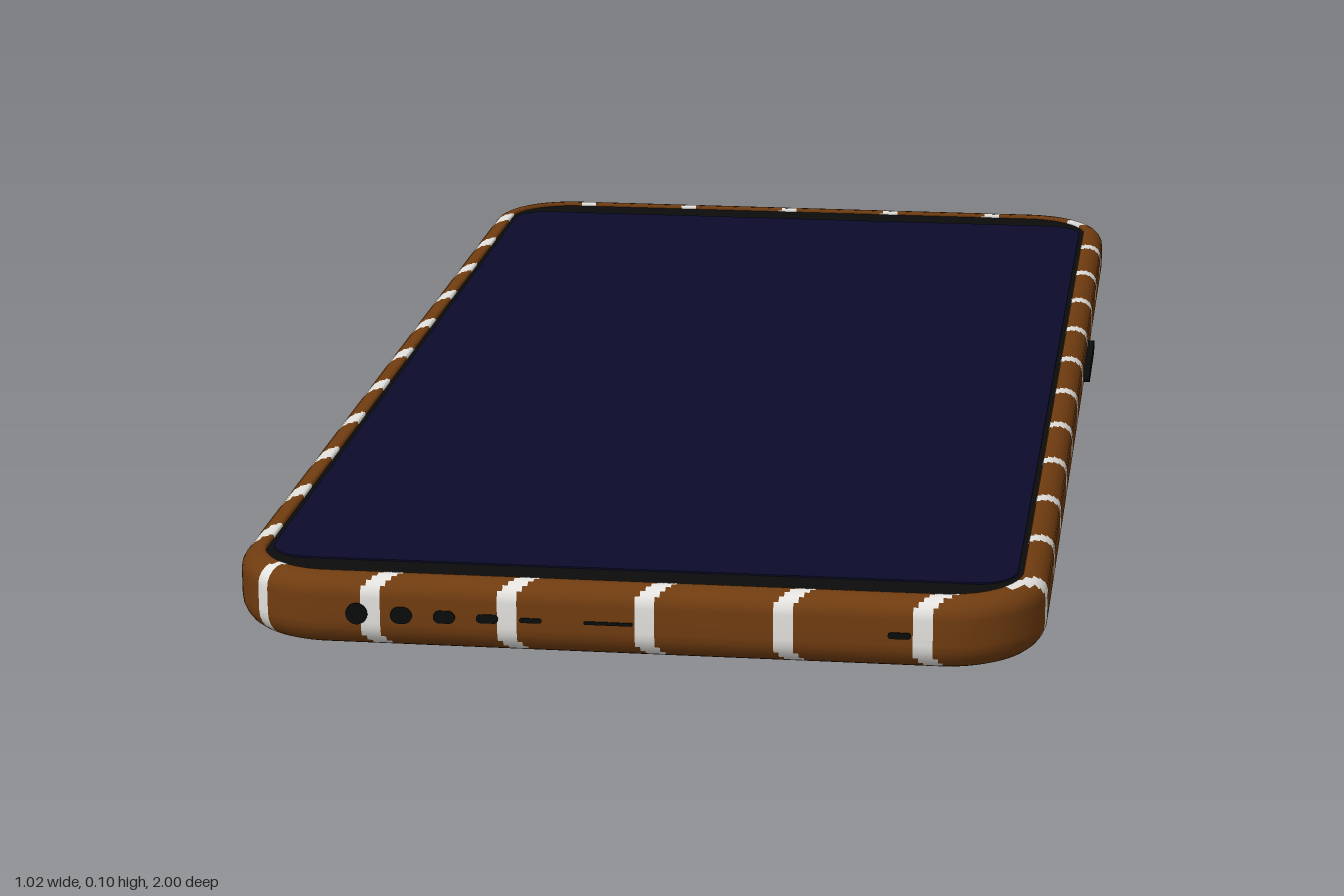
import * as THREE from 'three';

const HALF_W = 0.5, HALF_L = 1, CORNER = 0.125, MID_Y = 0.06;
const PITCH = 0.168;

const material = (name, color) => {
  const m = new THREE.MeshStandardMaterial({ color });
  m.name = name;
  return m;
};

// Outline of the case as points with outward normals, in the x-z plane
function outline(step) {
  const pts = [];
  const cx = HALF_W - CORNER, cz = HALF_L - CORNER;
  const centres = [[cx, cz], [-cx, cz], [-cx, -cz], [cx, -cz]];
  centres.forEach(([x, z], k) => {
    const arcSteps = Math.ceil((CORNER * Math.PI) / 2 / step);
    for (let i = 0; i < arcSteps; i++) {
      const a = ((k + i / arcSteps) * Math.PI) / 2;
      const nx = Math.cos(a), nz = Math.sin(a);
      pts.push({ x: x + CORNER * nx, z: z + CORNER * nz, nx, nz });
    }
    const a = ((k + 1) * Math.PI) / 2;
    const nx = Math.round(Math.cos(a)), nz = Math.round(Math.sin(a));
    const [x2, z2] = centres[(k + 1) % 4];
    const n = Math.ceil(Math.hypot(x2 - x, z2 - z) / step);
    for (let i = 0; i < n; i++) {
      const t = i / n;
      pts.push({ x: x + (x2 - x) * t + CORNER * nx, z: z + (z2 - z) * t + CORNER * nz, nx, nz });
    }
  });
  return pts;
}

// Diagonal stripes x + z = constant; width and offset differ a little by side
function isStripe(x, z, nx, nz) {
  let centre = 0.016, half = 0.013;
  if (nx > 0.8) { centre = 0.041; half = 0.012; }
  else if (nx < -0.8) { centre = 0.014; half = 0.024; }
  else if (nz > 0.8) { centre = 0.011; half = 0.012; }
  const d = (x + z - centre) / PITCH;
  return Math.abs(d - Math.round(d)) * PITCH < half;
}

// Rounded wall of the case: a profile swept around the outline
function caseWall() {
  const profile = [];
  for (let i = 0; i <= 6; i++) {
    const a = (i / 6) * Math.PI / 2;
    profile.push([0.035 * (1 - Math.sin(a)), 0.013 + 0.035 * (1 - Math.cos(a))]);
  }
  for (let i = 0; i <= 5; i++) {
    const a = (i / 5) * Math.PI / 2;
    profile.push([0.025 * (1 - Math.cos(a)), 0.08 + 0.025 * Math.sin(a)]);
  }
  profile.push([0.03, 0.105], [0.031, 0.102], [0.031, 0.09]);
  const ring = outline(0.006), n = ring.length, position = [];
  for (const [inset, y] of profile)
    for (const p of ring) position.push(p.x - p.nx * inset, y, p.z - p.nz * inset);
  const plain = [], stripes = [];
  for (let j = 0; j < profile.length - 1; j++) {
    const inset = (profile[j][0] + profile[j + 1][0]) / 2;
    for (let i = 0; i < n; i++) {
      const k = (i + 1) % n, p = ring[i], q = ring[k];
      const x = (p.x + q.x) / 2 - p.nx * inset, z = (p.z + q.z) / 2 - p.nz * inset;
      const a = j * n + i, b = j * n + k, c = b + n, d = a + n;
      (isStripe(x, z, p.nx, p.nz) ? stripes : plain).push(a, d, c, a, c, b);
    }
  }
  const g = new THREE.BufferGeometry();
  g.setAttribute('position', new THREE.Float32BufferAttribute(position, 3));
  g.setIndex([...plain, ...stripes]);
  g.addGroup(0, plain.length, 0);
  g.addGroup(plain.length, stripes.length, 1);
  g.computeVertexNormals();
  return g;
}

// Keep the part of a convex polygon where s * (x + z - c) >= 0
function clip(poly, c, s) {
  const out = [];
  poly.forEach((p, i) => {
    const q = poly[(i + 1) % poly.length];
    const dp = s * (p.x + p.y - c), dq = s * (q.x + q.y - c);
    if (dp >= 0) out.push(p);
    if (dp * dq < 0) out.push(p.clone().lerp(q, dp / (dp - dq)));
  });
  return out;
}

function roundedRect(w, h, r, Type = THREE.Shape) {
  const s = new Type(), x = w / 2 - r, y = h / 2 - r;
  s.absarc(x, y, r, 0, Math.PI / 2);
  s.absarc(-x, y, r, Math.PI / 2, Math.PI);
  s.absarc(-x, -y, r, Math.PI, Math.PI * 1.5);
  s.absarc(x, -y, r, Math.PI * 1.5, Math.PI * 2);
  s.closePath();
  return s;
}

const extrude = (shape, depth) =>
  new THREE.ExtrudeGeometry(shape, { depth, bevelEnabled: false, curveSegments: 10 });

export function createModel() {
  const model = new THREE.Group();
  model.name = 'phoneInCase';
  const brown = material('caseBrown', 0x703c10);
  const white = material('stripeWhite', 0xe4e2de);
  const black = material('black', 0x0a0c0b);
  const blue = material('screenBlue', 0x0c0c2c);

  const add = (name, geometry, mat, x = 0, y = 0, z = 0) => {
    const mesh = new THREE.Mesh(geometry, mat);
    mesh.name = name;
    mesh.position.set(x, y, z);
    model.add(mesh);
  };
  // Flat rounded slab from y0 to y1
  const slab = (name, w, l, r, y0, y1, mat, x = 0, z = 0, rim = 0) => {
    const s = roundedRect(w, l, r);
    if (rim) s.holes.push(roundedRect(w - 2 * rim, l - 2 * rim, r - rim * 0.6, THREE.Path));
    add(name, extrude(s, y1 - y0).rotateX(-Math.PI / 2), mat, x, y0, z);
  };

  add('caseWall', caseWall(), [brown, white]);

  // Case back, cut into alternating diagonal bands
  const back = outline(0.02).map(p => new THREE.Vector2(p.x - p.nx * 0.035, p.z - p.nz * 0.035));
  const band = (name, from, to, mat) => {
    const poly = clip(clip(back, from, 1), to, -1);
    if (poly.length < 3) return;
    add(name, new THREE.ShapeGeometry(new THREE.Shape(poly)).rotateX(Math.PI / 2), mat, 0, 0.013, 0);
  };
  for (let k = -10; k <= 10; k++) {
    const c = k * PITCH + 0.02, half = 0.026;
    band('backStripe', c - half, c + half, white);
    band('backPanel', c + half, c + PITCH - half, brown);
  }

  // Glass front and display
  slab('bezel', 0.945, 1.945, 0.1, 0.085, 0.1, black);
  slab('screen', 0.925, 1.83, 0.05, 0.1, 0.102, blue);

  // Camera and sensor openings on the back, each with a raised lip
  slab('cameraLip', 0.195, 0.4, 0.05, 0, 0.02, brown, 0, -0.49, 0.014);
  slab('cameraWindow', 0.18, 0.385, 0.04, 0.004, 0.02, black, 0, -0.49);
  slab('sensorLip', 0.062, 0.062, 0.02, 0.006, 0.02, brown, -0.267, -0.49, 0.008);
  slab('sensorWindow', 0.05, 0.05, 0.015, 0.008, 0.02, black, -0.267, -0.49);

  // Side buttons
  const button = (name, length, x, z) =>
    add(name, extrude(roundedRect(length, 0.02, 0.0099), 0.02).rotateY(Math.PI / 2), black, x, MID_Y, z);
  button('powerButton', 0.175, 0.489, -0.253);
  button('volumeButton', 0.35, -0.509, -0.57);

  // Ports on the two ends: x, width, height
  const port = (name, x, w, h, z) =>
    add(name, extrude(roundedRect(w, h, Math.min(w, h) * 0.499), 0.004), black, x, MID_Y, z);
  port('audioPort', -0.332, 0.027, 0.027, 0.9975);
  [0.021, 0.016, 0.011, 0.006].forEach((h, i) =>
    port('speakerHole', -0.277 + i * 0.053, 0.027, h, 0.9975));
  port('chargingSlot', -0.023, 0.06, 0.004, 0.9975);
  port('microphone', 0.329, 0.028, 0.008, 0.9975);
  port('topMicrophone', -0.35, 0.025, 0.025, -1.0015);

  return model;
}
